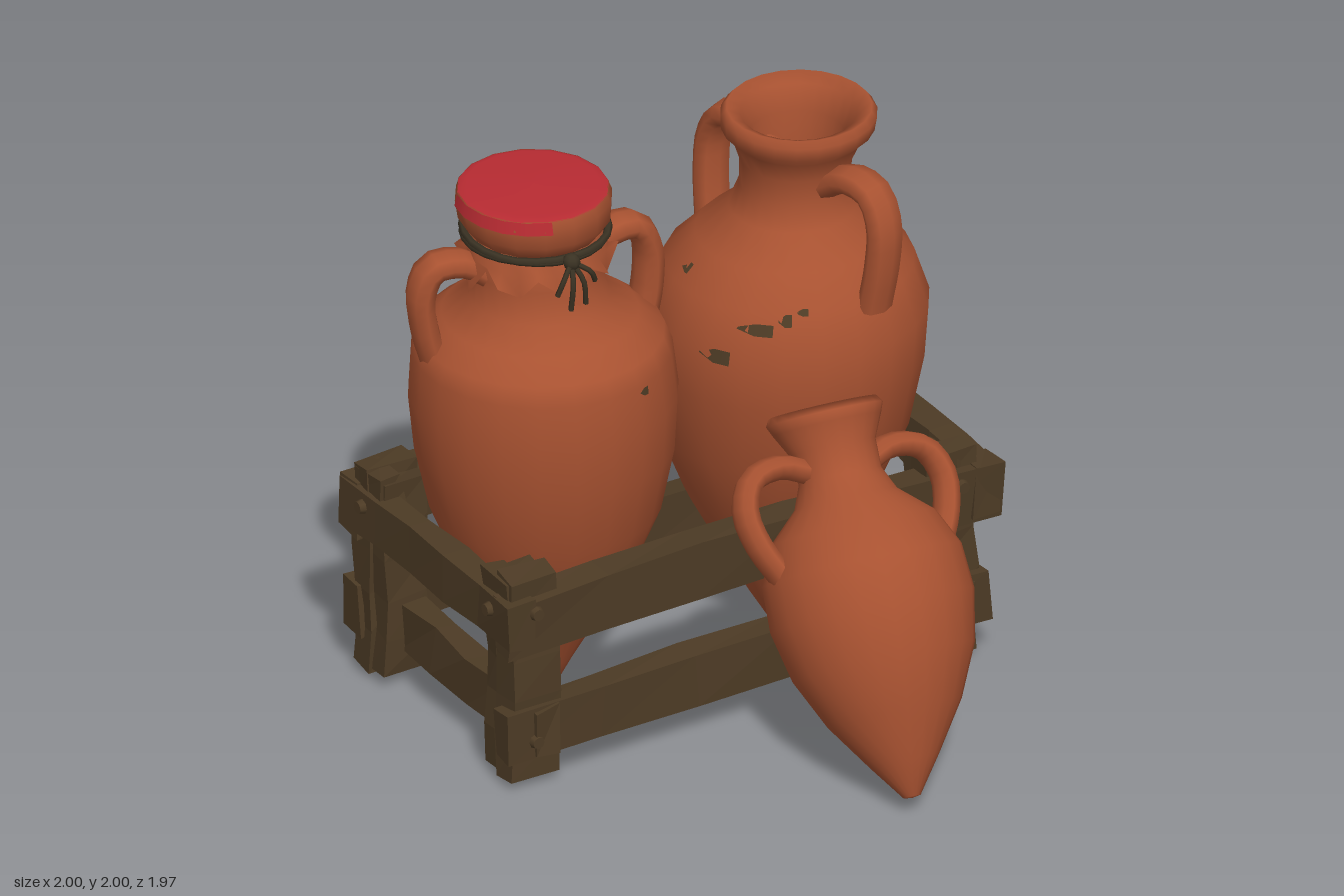
import * as THREE from 'three';

const mat = (name, color, side = THREE.FrontSide) => {
  const m = new THREE.MeshStandardMaterial({ color, side });
  m.name = name;
  return m;
};
const clay = mat('terracotta', 0xa85231, THREE.DoubleSide);
const wood = mat('dark wood', 0x4d3b25, THREE.DoubleSide);
const red = mat('red cloth', 0xb82b32, THREE.DoubleSide);
const cord = mat('dark cord', 0x3a3223);

const V2 = (a) => a.map(([x, y]) => new THREE.Vector2(x, y));
const V3 = (a) => a.map(([x, y, z = 0]) => new THREE.Vector3(x, y, z));

function add(parent, name, geometry, material) {
  const m = new THREE.Mesh(geometry, material);
  m.name = name;
  parent.add(m);
  return m;
}

// Leans and bows a geometry along its height
function bend(g, { height, lean = [0, 0], bow = [0, 0] }) {
  const p = g.attributes.position;
  for (let i = 0; i < p.count; i++) {
    const t = THREE.MathUtils.clamp(p.getY(i) / height, 0, 1);
    const s = Math.sin(Math.PI * t);
    p.setX(i, p.getX(i) + lean[0] * t + bow[0] * s);
    p.setZ(i, p.getZ(i) + lean[1] * t + bow[1] * s);
  }
  return g;
}

// Radius of a profile at a height on its outer wall
function radiusAt(profile, y) {
  for (let i = 1; i < profile.length; i++) {
    const [r0, y0] = profile[i - 1], [r1, y1] = profile[i];
    if (y >= y0 && y <= y1) return r0 + (r1 - r0) * (y - y0) / (y1 - y0);
  }
  return 0;
}

// Jar: turned body, two strap handles, and small chipped patches
function jar(name, { profile, inside, handle, angles, strap, chips = [], shape }) {
  const g = new THREE.Group();
  g.name = name;
  add(g, 'jarBody', bend(new THREE.LatheGeometry(V2([...profile, ...inside]), 22), shape), clay);
  for (const a of angles) {
    const curve = new THREE.CatmullRomCurve3(V3(handle), false, 'centripetal');
    const tube = new THREE.TubeGeometry(curve, 14, strap, 8);
    tube.scale(1, 1, 1.45).rotateY(a);
    add(g, 'handle', bend(tube, shape), clay);
  }
  for (const [deg, width, y, h] of chips) {
    const ys = [y - h / 2, y + h / 2];
    const geo = new THREE.LatheGeometry(V2(ys.map((v) => [radiusAt(profile, v) + 0.004, v])), 2,
      THREE.MathUtils.degToRad(deg - width / 2), THREE.MathUtils.degToRad(width));
    // slanted patch edges
    const p = geo.attributes.position;
    for (let i = 0; i < 2; i++) p.setY(i, y);
    add(g, 'chip', bend(geo, shape), wood);
  }
  return g;
}

// Cloth cover tied over a jar mouth
function cover(parent, shape) {
  add(parent, 'coverSide', bend(new THREE.LatheGeometry(
    V2([[0.2, 1.8], [0.23, 1.83], [0.265, 1.88], [0.272, 1.95], [0.26, 1.985]]), 16), shape), clay);
  add(parent, 'coverTop', bend(new THREE.LatheGeometry(
    V2([[0.262, 1.983], [0.23, 1.995], [0, 2.0]]), 16), shape), red);
  add(parent, 'coverStain', bend(new THREE.LatheGeometry(
    V2([[0.277, 1.94], [0.266, 1.985]]), 5, -1.9, 1.6), shape), red);
  // ragged skirt below the cord
  const skirt = new THREE.LatheGeometry(V2([[0.275, 1.7], [0.245, 1.76], [0.215, 1.83]]), 24);
  const p = skirt.attributes.position;
  const drop = [-0.06, 0.05, 0.01, -0.03, 0.06, -0.01];
  for (let i = 0; i < p.count; i += 3) {
    const k = (i / 3) % 6, f = k % 2 ? 0.88 : 1.02;
    p.setXYZ(i, p.getX(i) * f, p.getY(i) + drop[k], p.getZ(i) * f);
  }
  skirt.computeVertexNormals();
  add(parent, 'coverSkirt', bend(skirt, shape), clay);
  for (const [y, tilt] of [[1.83, 0.05], [1.815, -0.04]]) {
    const ring = new THREE.TorusGeometry(0.25, 0.014, 6, 24);
    ring.rotateX(Math.PI / 2 + tilt).translate(0, y, 0);
    add(parent, 'cordRing', bend(ring, shape), cord);
  }
  // knot and loose ends
  const knot = new THREE.SphereGeometry(0.032, 8, 6).translate(-0.02, 1.82, 0.27);
  add(parent, 'knot', bend(knot, shape), cord);
  for (const [dx, dy] of [[-0.08, -0.1], [-0.03, -0.17], [0.03, -0.16], [0.07, -0.08]]) {
    const path = new THREE.CatmullRomCurve3(V3([
      [-0.02, 1.82, 0.27], [-0.02 + dx * 0.7, 1.82 + dy * 0.4, 0.31], [-0.02 + dx, 1.82 + dy, 0.3]]));
    add(parent, 'cordEnd', bend(new THREE.TubeGeometry(path, 6, 0.01, 5), shape), cord);
  }
}

// Rough-hewn beam: a box whose corners shift by a position hash
function beam(parent, name, [w, h, d], [x, y, z], rot = [0, 0, 0], bowZ = 0) {
  const seg = (s) => (s > 0.5 ? 5 : 1);
  const box = new THREE.BoxGeometry(w, h, d, seg(w), seg(h), seg(d));
  const p = box.attributes.position;
  const hash = (a, b, c, k) => {
    const s = Math.sin((a + x) * 127.1 + (b + y) * 311.7 + (c + z) * 74.7 + k * 53.3) * 437.58;
    return (s - Math.floor(s) - 0.5) * 0.024;
  };
  for (let i = 0; i < p.count; i++) {
    const [a, b, c] = [p.getX(i), p.getY(i), p.getZ(i)];
    const curve = bowZ * Math.cos(Math.PI * a / w);
    p.setXYZ(i, a + hash(a, b, c, 1), b + hash(a, b, c, 2), c + hash(a, b, c, 3) + curve);
  }
  const geo = box.toNonIndexed();
  geo.computeVertexNormals();
  const m = add(parent, name, geo, wood);
  m.position.set(x, y, z);
  m.rotation.set(...rot);
}

function crate() {
  const g = new THREE.Group();
  g.name = 'crate';
  // corner posts, each made of two planks
  for (const sx of [-1, 1]) {
    for (const [z, out] of [[0.035, 1], [-0.8, -1]]) {
      const x = sx > 0 ? 0.81 : -0.855;
      beam(g, 'postOuter', [0.19, 0.78, 0.1], [x, 0.42, z + out * 0.045]);
      beam(g, 'postInner', [0.17, 0.74, 0.09], [x, 0.41, z - out * 0.045]);
      beam(g, 'postCap', [0.09, 0.1, 0.17], [x + sx * 0.06, 0.75, z]);
    }
  }
  // long rails
  beam(g, 'frontRail', [1.96, 0.21, 0.11], [0.01, 0.63, 0.11], [0, 0, 0], -0.05);
  beam(g, 'frontRail', [1.92, 0.19, 0.1], [-0.02, 0.225, 0.12], [0, 0, 0.012], -0.04);
  beam(g, 'backRail', [1.94, 0.2, 0.11], [-0.01, 0.64, -0.905], [0, 0.01, 0]);
  beam(g, 'backRail', [1.92, 0.19, 0.1], [-0.01, 0.23, -0.9], [0, 0.01, -0.012]);
  // short rails: upper outside the posts, lower between them
  for (const s of [-1, 1]) {
    beam(g, 'sideRail', [0.1, 0.18, 1.12], [s * 0.93, 0.65, -0.39], [0.01 * s, 0, 0]);
    beam(g, 'sideRailLower', [0.1, 0.18, 1.13], [s * 0.83, 0.22, -0.385]);
  }
  // nail heads
  const nail = (x, y, z, axis) => {
    const n = new THREE.CylinderGeometry(0.022, 0.03, 0.03, 8);
    if (axis === 'x') n.rotateZ(-Math.PI / 2 * Math.sign(x));
    else n.rotateX(Math.PI / 2 * Math.sign(z));
    add(g, 'nail', n, wood).position.set(x, y, z);
  };
  for (const x of [-0.87, 0.83]) {
    for (const y of [0.69, 0.19]) {
      nail(x, y, 0.165, 'z');
      nail(x, y, -0.965, 'z');
    }
  }
  for (const x of [-0.985, 0.985]) for (const z of [0.035, -0.8]) nail(x, 0.68, z, 'x');
  return g;
}

export function createModel() {
  const model = new THREE.Group();
  model.name = 'jarsInCrate';

  const shapeA = { height: 2, lean: [-0.05, 0.01], bow: [0.025, 0] };
  const covered = jar('coveredJar', {
    profile: [[0, 0], [0.035, 0.01], [0.1, 0.14], [0.21, 0.34], [0.31, 0.52], [0.4, 0.74], [0.45, 0.98],
      [0.465, 1.18], [0.45, 1.35], [0.425, 1.42], [0.34, 1.49], [0.24, 1.56], [0.22, 1.68], [0.21, 1.85]],
    inside: [[0, 1.9]],
    handle: [[0.17, 1.66], [0.27, 1.73], [0.38, 1.73], [0.425, 1.64], [0.42, 1.5], [0.39, 1.37]],
    angles: [-0.04, Math.PI - 0.2], strap: 0.05,
    chips: [[19, 5, 1.33, 0.03]], shape: shapeA,
  });
  cover(covered, shapeA);
  covered.position.set(-0.48, 0, -0.43);

  const open = jar('openJar', {
    profile: [[0, 0], [0.035, 0.01], [0.11, 0.13], [0.23, 0.34], [0.33, 0.52], [0.44, 0.78], [0.485, 1.05],
      [0.49, 1.24], [0.43, 1.4], [0.33, 1.51], [0.22, 1.61], [0.19, 1.7], [0.195, 1.8], [0.225, 1.88],
      [0.265, 1.92], [0.27, 1.97]],
    inside: [[0.25, 1.995], [0.2, 1.97], [0.165, 1.88], [0.15, 1.7], [0.15, 1.58]],
    handle: [[0.15, 1.74], [0.26, 1.81], [0.38, 1.8], [0.44, 1.7], [0.445, 1.55], [0.42, 1.37]],
    angles: [Math.atan2(-0.97, 0.22), Math.atan2(1, -0.12)], strap: 0.05,
    chips: [[-62, 14, 1.24, 0.05], [-46, 16, 1.35, 0.04], [-33, 6, 1.385, 0.04], [-25, 5, 1.41, 0.02],
      [100, 4, 1.54, 0.02], [-95, 5, 1.45, 0.03]],
    shape: { height: 2, lean: [0.07, 0.03], bow: [0, -0.03] },
  });
  add(open, 'jarContents', new THREE.CircleGeometry(0.16, 16).rotateX(-Math.PI / 2), wood)
    .position.set(0.055, 1.59, 0.005);
  open.position.set(0.46, 0, -0.44);

  const leaning = jar('leaningJar', {
    profile: [[0, 0], [0.03, 0.005], [0.12, 0.13], [0.235, 0.3], [0.32, 0.48], [0.358, 0.66], [0.35, 0.82],
      [0.29, 0.95], [0.18, 1.05], [0.145, 1.13], [0.15, 1.23], [0.19, 1.31], [0.205, 1.345]],
    inside: [[0.19, 1.37], [0.14, 1.31], [0.11, 1.2], [0.12, 1.08], [0, 1.04]],
    handle: [[0.11, 1.16], [0.22, 1.2], [0.34, 1.17], [0.39, 1.07], [0.37, 0.95], [0.31, 0.83]],
    angles: [0, Math.PI], strap: 0.043,
    shape: { height: 1.37, bow: [0.06, -0.09] },
  });
  const axis = new THREE.Vector3(0.11, 1.13, -0.77).normalize();
  leaning.quaternion.setFromUnitVectors(new THREE.Vector3(0, 1, 0), axis);
  leaning.position.set(0.14, 0.06, 0.97);

  model.add(covered, open, leaning, crate());
  return model;
}
